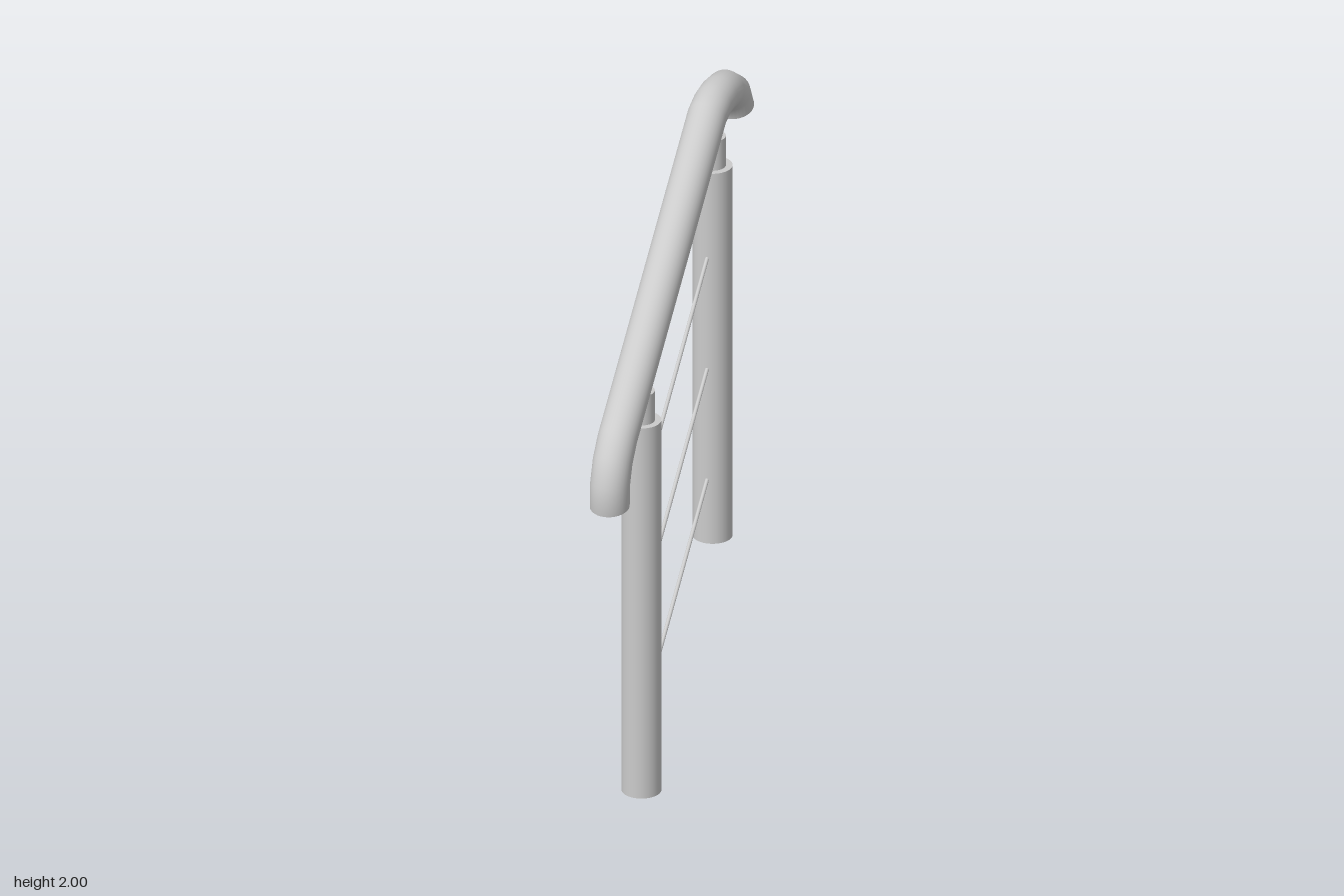
import * as THREE from 'three';

const material = new THREE.MeshStandardMaterial({ color: 0xcccccc, side: THREE.DoubleSide });
const RADIUS = 0.06;

// Curve through given points, with mitred tangents at each bend.
class BentPath extends THREE.Curve {
  constructor(points) {
    super();
    this.points = points;
  }
  getPointAt(u) {
    return this.points[Math.round(u * (this.points.length - 1))].clone();
  }
  segment(i) {
    return this.points[i + 1].clone().sub(this.points[i]).normalize();
  }
  mitre(i) {
    return this.segment(i - 1).add(this.segment(i)).normalize();
  }
  getTangentAt(u) {
    const last = this.points.length - 1;
    const i = Math.round(u * last);
    // the end cuts continue the turn of the bend
    if (i === 0) return this.segment(0).multiplyScalar(2).sub(this.mitre(1)).normalize();
    if (i === last) return this.segment(last - 1).multiplyScalar(2).sub(this.mitre(last - 1)).normalize();
    return this.mitre(i);
  }
}

function addMesh(parent, name, geometry) {
  const mesh = new THREE.Mesh(geometry, material);
  mesh.name = name;
  parent.add(mesh);
  return mesh;
}

// Upright tube along y between two heights.
function addUpright(parent, name, radius, y0, y1, open) {
  const geometry = new THREE.CylinderGeometry(radius, radius, y1 - y0, 32, 1, open);
  addMesh(parent, name, geometry).position.y = (y0 + y1) / 2;
}

// Post with open foot, shoulder, narrower sleeve and thin pin up to the rail.
function makePost(name, z, baseY, railY) {
  const post = new THREE.Group();
  post.name = name;
  post.position.set(0, baseY, z);
  addUpright(post, 'postTube', RADIUS, 0, 1.24, true);
  const shoulder = addMesh(post, 'postShoulder', new THREE.RingGeometry(0.04, RADIUS, 32));
  shoulder.rotation.x = -Math.PI / 2;
  shoulder.position.y = 1.24;
  addUpright(post, 'postSleeve', 0.04, 1.2, 1.338, false);
  addUpright(post, 'railPin', 0.007, 1.33, railY - baseY, false);
  return post;
}

export function createModel() {
  const model = new THREE.Group();
  model.name = 'stairRailing';

  // Handrail: points as [z, y], hooked down at both ends
  const path = [
    [0.65, 1.11], [0.648, 1.18], [0.62, 1.245], [0.57, 1.298],
    [-0.362, 1.928], [-0.42, 1.942], [-0.48, 1.941], [-0.55, 1.927],
    [-0.61, 1.888], [-0.645, 1.828],
  ].map(([z, y]) => new THREE.Vector3(0, y, z));
  addMesh(model, 'handrail', new THREE.TubeGeometry(new BentPath(path), path.length - 1, RADIUS, 32));

  // Posts
  model.add(makePost('frontPost', 0.32, 0, 1.42));
  model.add(makePost('backPost', -0.42, 0.497, 1.91));

  // Sloping infill rods between the posts
  for (let i = 0; i < 3; i++) {
    const y = 0.255 + i * 0.371;
    const line = new THREE.LineCurve3(
      new THREE.Vector3(0, y, 0.3),
      new THREE.Vector3(0, y + 0.473, -0.39),
    );
    addMesh(model, 'infillRod', new THREE.TubeGeometry(line, 1, 0.006, 12));
  }
  return model;
}
